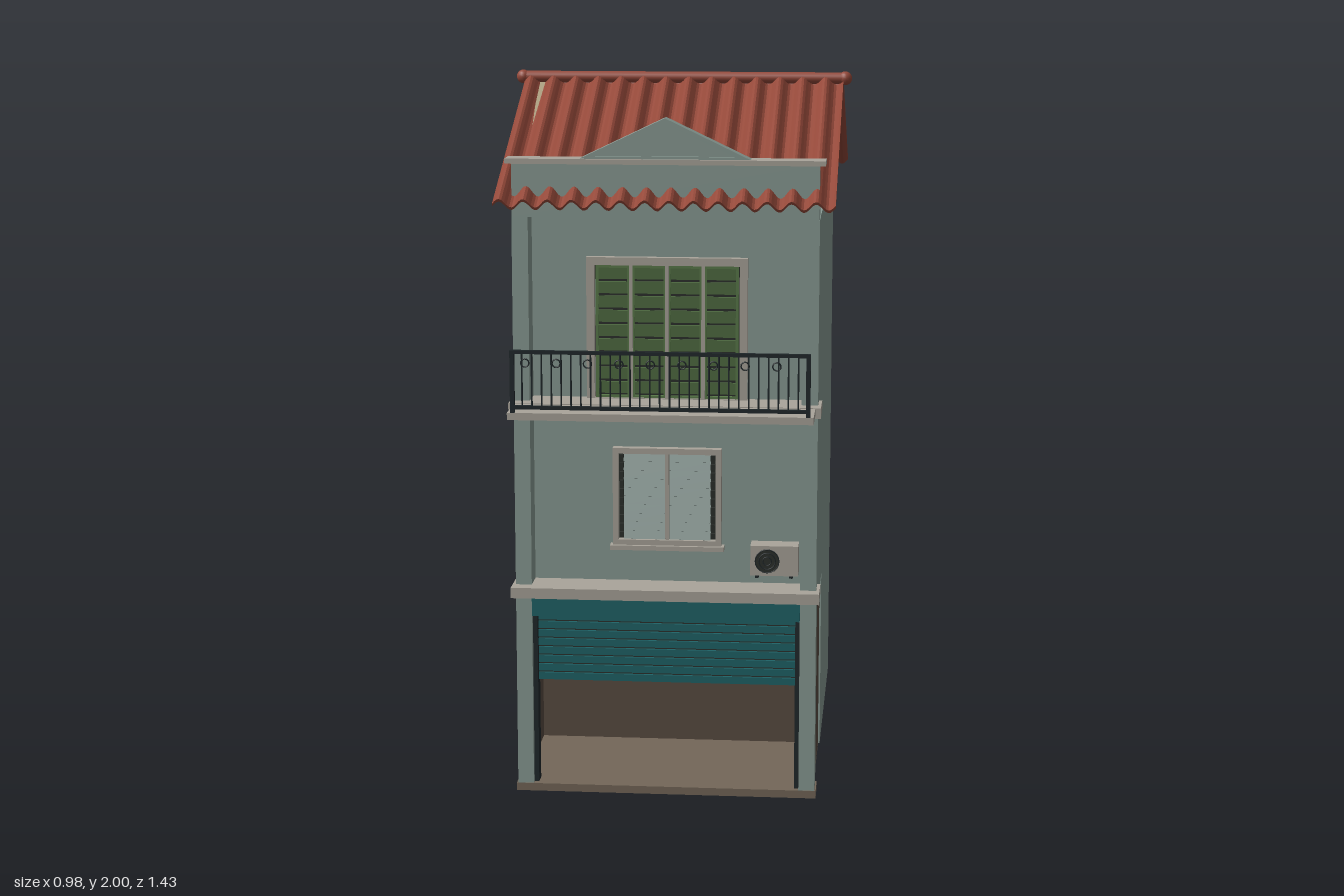
import * as THREE from 'three';

const mat = (color) => new THREE.MeshStandardMaterial({ color, roughness: 0.9, side: THREE.DoubleSide });
const M = {
  wall: mat(0x8a9c95), trim: mat(0xaaa59b), room: mat(0x5a4d42), floor: mat(0x746759),
  roof: mat(0x95493a), gable: mat(0xada081), teal: mat(0x1f6468), green: mat(0x5a7a4a),
  iron: mat(0x20282b), dark: mat(0x2b2f2b), glass: mat(0x8d9d98),
};

function add(parent, name, geometry, material, x = 0, y = 0, z = 0) {
  const mesh = new THREE.Mesh(geometry, material);
  mesh.name = name;
  mesh.position.set(x, y, z);
  parent.add(mesh);
  return mesh;
}

// Box given by its extents along each axis
function box(parent, name, material, x0, x1, y0, y1, z0, z1) {
  return add(parent, name, new THREE.BoxGeometry(x1 - x0, y1 - y0, z1 - z0), material,
    (x0 + x1) / 2, (y0 + y1) / 2, (z0 + z1) / 2);
}

function group(parent, name) {
  const g = new THREE.Group();
  g.name = name;
  parent.add(g);
  return g;
}

const polygon = (pts) => new THREE.Shape(pts.map(([x, y]) => new THREE.Vector2(x, y)));
const extrude = (shape, depth) => new THREE.ExtrudeGeometry(shape, { depth, bevelEnabled: false });

// Rectangular frame with the given bar width
function frame(parent, name, material, x0, x1, y0, y1, w, z0, z1) {
  const s = polygon([[x0, y0], [x1, y0], [x1, y1], [x0, y1]]);
  s.holes.push(polygon([[x0 + w, y0 + w], [x0 + w, y1 - w], [x1 - w, y1 - w], [x1 - w, y0 + w]]));
  return add(parent, name, extrude(s, z1 - z0), material, 0, 0, z0);
}

function buildShell(root) {
  const g = group(root, 'houseShell');
  box(g, 'rearBlock', M.wall, -0.42, 0.42, 0.01, 1.64, -0.7, 0.085);
  box(g, 'upperBlock', M.wall, -0.42, 0.42, 0.535, 1.64, 0.085, 0.47);
  box(g, 'roomFloor', M.floor, -0.415, 0.415, 0.003, 0.014, 0.085, 0.47);
  box(g, 'threshold', M.floor, -0.425, 0.425, 0, 0.022, 0.46, 0.547);
  box(g, 'roomBack', M.room, -0.41, 0.41, 0.01, 0.535, 0.085, 0.092);
  box(g, 'roomCeiling', M.room, -0.41, 0.41, 0.525, 0.535, 0.085, 0.47);
  for (const s of [-1, 1]) {
    box(g, 'roomSide', M.room, s * 0.4125 - 0.0025, s * 0.4125 + 0.0025, 0.01, 0.535, 0.085, 0.47);
    box(g, 'pilaster', M.wall, s * 0.3985 - 0.0225, s * 0.3985 + 0.0225, 0.02, 1.64, 0.47, 0.545);
  }
  box(g, 'lowerBand', M.trim, -0.43, 0.43, 0.575, 0.605, 0.47, 0.585);
  box(g, 'upperBand', M.trim, -0.43, 0.43, 1.1, 1.13, 0.47, 0.585);
}

function buildShutter(root) {
  const g = group(root, 'rollingShutter');
  box(g, 'shutterHousing', M.teal, -0.376, 0.376, 0.515, 0.575, 0.475, 0.55);
  for (let i = 0; i < 8; i++) {
    const y = 0.32 + i * 0.025;
    box(g, 'slat', M.teal, -0.37, 0.37, y, y + 0.02, 0.5, 0.512);
  }
  box(g, 'slatBacking', M.dark, -0.37, 0.37, 0.32, 0.52, 0.498, 0.505);
  for (const s of [-1, 1]) box(g, 'guideRail', M.iron, s * 0.37 - 0.007, s * 0.37 + 0.007, 0.022, 0.515, 0.49, 0.53);
}

function buildLouvredDoors(root) {
  const g = group(root, 'balconyDoors');
  frame(g, 'doorFrame', M.trim, -0.223, 0.223, 1.11, 1.525, 0.022, 0.47, 0.492);
  box(g, 'doorBacking', M.dark, -0.2, 0.2, 1.13, 1.505, 0.47, 0.473);
  for (let i = 0; i < 4; i++) {
    const x = -0.2 + i * 0.1;
    frame(g, 'doorLeaf', M.green, x + 0.002, x + 0.098, 1.13, 1.503, 0.008, 0.473, 0.485);
    for (let k = 0; k < 9; k++) {
      const slat = box(g, 'louvre', M.green, x + 0.008, x + 0.092, 1.143 + k * 0.04, 1.177 + k * 0.04, 0.476, 0.48);
      slat.rotation.x = 0.15;
    }
    if (i) box(g, 'doorMullion', M.trim, x - 0.005, x + 0.005, 1.13, 1.503, 0.473, 0.488);
  }
}

function buildJalousieWindow(root) {
  const g = group(root, 'jalousieWindow');
  frame(g, 'windowFrame', M.trim, -0.152, 0.152, 0.712, 0.99, 0.016, 0.47, 0.495);
  box(g, 'windowSill', M.trim, -0.16, 0.16, 0.7, 0.713, 0.47, 0.505);
  box(g, 'windowBacking', M.dark, -0.14, 0.14, 0.725, 0.978, 0.47, 0.473);
  box(g, 'windowMullion', M.trim, -0.005, 0.005, 0.725, 0.978, 0.473, 0.492);
  for (const s of [-1, 1]) {
    for (let k = 0; k < 10; k++) {
      const y = 0.74 + k * 0.0247;
      const pane = box(g, 'glassSlat', M.glass, s * 0.064 - 0.058, s * 0.064 + 0.058, y - 0.0125, y + 0.0125, 0.48, 0.482);
      pane.rotation.x = -0.3;
      box(g, 'slatClip', M.dark, s * 0.128 - 0.006, s * 0.128 + 0.006, y - 0.008, y + 0.008, 0.478, 0.488);
    }
  }
}

function buildAirConditioner(root) {
  const g = group(root, 'airConditioner');
  box(g, 'unitCasing', M.trim, 0.237, 0.37, 0.645, 0.73, 0.485, 0.545);
  const disc = add(g, 'fanOpening', new THREE.CylinderGeometry(0.033, 0.033, 0.006, 20), M.dark, 0.284, 0.688, 0.545);
  disc.rotation.x = Math.PI / 2;
  for (const r of [0.012, 0.023, 0.033]) {
    add(g, 'fanGuardRing', new THREE.TorusGeometry(r, 0.0015, 6, 20), M.iron, 0.284, 0.688, 0.55);
  }
  for (const x of [0.255, 0.35]) box(g, 'unitBracket', M.iron, x - 0.005, x + 0.005, 0.637, 0.645, 0.47, 0.54);
}

function buildBalcony(root) {
  const g = group(root, 'balcony');
  box(g, 'balconySlab', M.trim, -0.415, 0.415, 1.108, 1.128, 0.47, 0.71);
  const z = 0.705;
  for (const y of [1.143, 1.295]) box(g, 'rail', M.iron, -0.405, 0.405, y - 0.005, y + 0.005, z - 0.005, z + 0.005);
  for (const s of [-1, 1]) box(g, 'endPost', M.iron, s * 0.4 - 0.006, s * 0.4 + 0.006, 1.128, 1.3, z - 0.006, z + 0.006);
  for (let i = 1; i < 30; i++) {
    add(g, 'baluster', new THREE.CylinderGeometry(0.0025, 0.0025, 0.152, 6), M.iron, -0.4 + i * 0.8 / 30, 1.219, z);
  }
  for (let i = 0; i < 9; i++) {
    add(g, 'railRing', new THREE.TorusGeometry(0.011, 0.002, 6, 16), M.iron, -0.365 + i * 0.085, 1.265, z);
  }
}

function buildParapet(root) {
  const g = group(root, 'parapet');
  box(g, 'parapetWall', M.wall, -0.42, 0.42, 1.64, 1.79, 0.5, 0.545);
  box(g, 'parapetCap', M.trim, -0.436, 0.436, 1.787, 1.801, 0.49, 0.56);
  const tri = (w, y0, y1) => [[-w, y0], [w, y0], [0, y1]];
  add(g, 'pediment', extrude(polygon(tri(0.235, 1.8, 1.912)), 0.036), M.wall, 0, 0, 0.5);
  const border = polygon(tri(0.235, 1.8, 1.912));
  border.holes.push(polygon(tri(0.19, 1.808, 1.898)));
  add(g, 'pedimentBorder', extrude(border, 0.011), M.wall, 0, 0, 0.536);
}

function buildRoof(root) {
  const g = group(root, 'roof');
  const ridgeZ = -0.0525, ridgeY = 1.973, run = 0.655, drop = 0.292;
  const wave = (x) => -0.013 * Math.cos((x + 0.413) / 0.0661 * Math.PI * 2);

  // Corrugated sheet: wavy cross-section drawn along the slope
  for (const dir of [1, -1]) {
    const n = 140, top = [], under = [];
    for (let i = 0; i <= n; i++) {
      const x = -0.465 + 0.93 * i / n;
      top.push([x, wave(x * dir) + 0.004]);
      under.unshift([x, wave(x * dir) - 0.004]);
    }
    const sheet = extrude(polygon([...under.reverse(), ...top.reverse()]), Math.hypot(run, drop));
    sheet.rotateX(Math.atan2(drop, run));
    if (dir < 0) sheet.rotateY(Math.PI);
    add(g, dir > 0 ? 'frontSlope' : 'rearSlope', sheet, M.roof, 0, ridgeY, ridgeZ);
  }

  // Ridge roll with rounded ends
  const ridge = add(g, 'ridgeRoll', new THREE.CylinderGeometry(0.017, 0.017, 0.95, 14), M.roof, 0, 1.98, ridgeZ);
  ridge.rotation.z = Math.PI / 2;
  for (const s of [-1, 1]) add(g, 'ridgeEnd', new THREE.SphereGeometry(0.02, 14, 10), M.roof, s * 0.47, 1.98, ridgeZ);

  // Gable panels
  for (const x of [-0.425, 0.4]) {
    const panel = extrude(polygon([[-0.6, 1.69], [0.6, 1.69], [0, 1.967]]), 0.025);
    panel.rotateY(Math.PI / 2);
    add(g, 'gable', panel, M.gable, x, 0, ridgeZ);
  }
}

export function createModel() {
  const root = new THREE.Group();
  root.name = 'townhouse';
  [buildShell, buildShutter, buildLouvredDoors, buildJalousieWindow, buildAirConditioner,
    buildBalcony, buildParapet, buildRoof].forEach((build) => build(root));
  return root;
}
